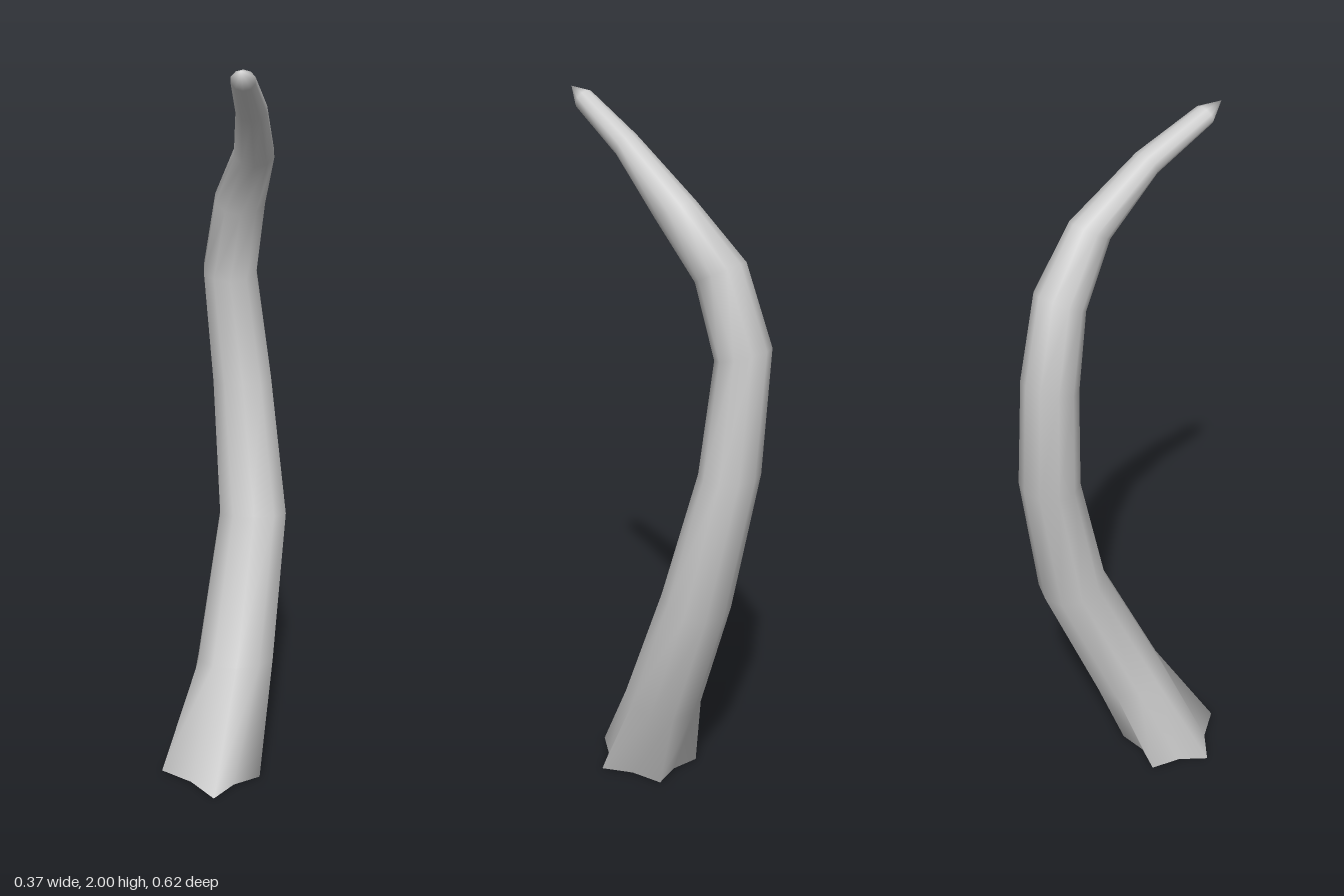
import * as THREE from 'three';

const SIDES = 10;

// Cross-sections from low to high: [xLeft, xRight, frontY, frontZ, backY, backZ]
const SECTIONS = [
  [-0.08, 0.14, 0.31, 0.12, 0.27, -0.09],
  [-0.01, 0.185, 0.70, -0.05, 0.65, -0.23],
  [-0.025, 0.145, 1.06, -0.145, 1.06, -0.302],
  [-0.05, 0.10, 1.36, -0.165, 1.40, -0.307],
  [-0.02, 0.118, 1.56, -0.12, 1.62, -0.24],
  [0.025, 0.132, 1.71, -0.015, 1.765, -0.11],
  [0.02, 0.10, 1.85, 0.12, 1.905, 0.085],
  [0.0, 0.06, 1.95, 0.275, 1.995, 0.25],
];

// Five-lobed foot: lobes and the shallow hollows between them
function footRing() {
  const lobes = [[0.09, 0.2], [-0.045, 0.298], [-0.188, 0.157], [-0.115, 0], [0.048, 0.015]];
  const cx = -0.04, cz = 0.14, ring = [];
  lobes.forEach(([x, z], i) => {
    const [nx, nz] = lobes[(i + 1) % lobes.length];
    ring.push(new THREE.Vector3(x, 0, z));
    ring.push(new THREE.Vector3(cx + ((x + nx) / 2 - cx) * 0.87, 0, cz + ((z + nz) / 2 - cz) * 0.87));
  });
  return ring;
}

// Tilted oval section
function ovalRing([x0, x1, fy, fz, by, bz]) {
  return Array.from({ length: SIDES }, (_, j) => {
    const a = THREE.MathUtils.degToRad(20 + j * 36);
    const s = Math.sin(a) * 1.02, c = Math.cos(a) * 1.02;
    return new THREE.Vector3(
      (x0 + x1) / 2 + c * (x1 - x0) / 2,
      (fy + by) / 2 + s * (fy - by) / 2,
      (fz + bz) / 2 + s * (fz - bz) / 2);
  });
}

function makeMesh(name, points, index) {
  const geometry = new THREE.BufferGeometry().setFromPoints(points);
  geometry.setIndex(index);
  geometry.computeVertexNormals();
  const mesh = new THREE.Mesh(geometry, new THREE.MeshStandardMaterial({ color: 0xcccccc }));
  mesh.name = name;
  return mesh;
}

export function createModel() {
  const group = new THREE.Group();
  group.name = 'tentacle';
  const rings = [footRing(), ...SECTIONS.map(ovalRing)];

  // Curved stalk, closed by a pointed tip
  const points = rings.flat();
  const index = [];
  const tip = points.length;
  points.push(new THREE.Vector3(0.022, 2, 0.308));
  for (let i = 0; i < rings.length; i++) {
    for (let j = 0; j < SIDES; j++) {
      const a = i * SIDES + j, b = i * SIDES + (j + 1) % SIDES;
      if (i === rings.length - 1) index.push(a, tip, b);
      else index.push(a, a + SIDES, b, b, a + SIDES, b + SIDES);
    }
  }
  group.add(makeMesh('stalk', points, index));

  // Flat underside of the foot
  const capIndex = [];
  for (let j = 0; j < SIDES; j++) capIndex.push(SIDES, j, (j + 1) % SIDES);
  group.add(makeMesh('footCap', [...rings[0], new THREE.Vector3(-0.04, 0, 0.14)], capIndex));

  return group;
}
